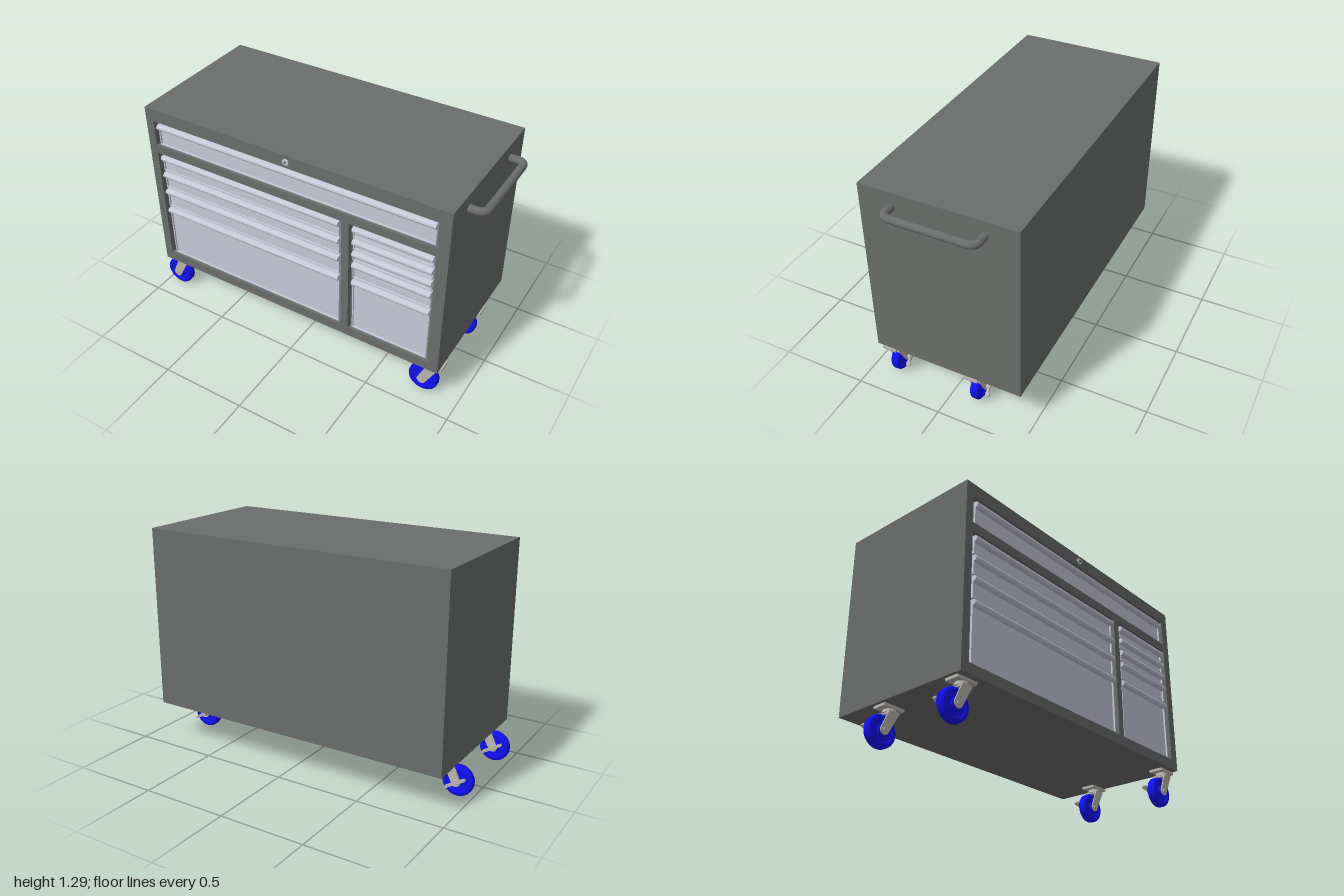
import * as THREE from 'three';
import { toCreasedNormals } from 'three/addons/utils/BufferGeometryUtils.js';

const mat = (color) => new THREE.MeshStandardMaterial({ color });
const dark = mat(0x6a6d6b), pale = mat(0xc8c8d8), blue = mat(0x1010f0), metal = mat(0xb8b5ac);

function add(parent, name, geometry, material, x = 0, y = 0, z = 0) {
  const mesh = new THREE.Mesh(geometry, material);
  mesh.name = name;
  mesh.position.set(x, y, z);
  parent.add(mesh);
  return mesh;
}

// Box given by its extents on each axis
function block(parent, name, material, x0, x1, y0, y1, z0, z1) {
  return add(parent, name, new THREE.BoxGeometry(x1 - x0, y1 - y0, z1 - z0), material,
    (x0 + x1) / 2, (y0 + y1) / 2, (z0 + z1) / 2);
}

function rectangle(target, x0, x1, y0, y1) {
  target.moveTo(x0, y0).lineTo(x1, y0).lineTo(x1, y1).lineTo(x0, y1).closePath();
  return target;
}

const disc = (r, length, sides = 24) => new THREE.CylinderGeometry(r, r, length, sides).rotateX(Math.PI / 2);

// Cabinet shell with a front frame that has three drawer openings
function cabinet() {
  const g = new THREE.Group();
  g.name = 'cabinet';
  block(g, 'shell', dark, -0.95, 0.89, 0.23, 1.29, -0.44, 0.4);
  const face = rectangle(new THREE.Shape(), -0.95, 0.89, 0.23, 1.29);
  for (const o of [[-0.9, 0.835, 1.06, 1.215], [-0.9, 0.295, 0.288, 1.01], [0.34, 0.835, 0.288, 1.01]])
    face.holes.push(rectangle(new THREE.Path(), ...o));
  add(g, 'frontFrame', new THREE.ExtrudeGeometry(face, { depth: 0.03, bevelEnabled: false }), dark, 0, 0, 0.4);
  return g;
}

// Drawer front: side profile with a rounded pull along the top and a lip at the bottom
function drawer(x0, x1, y0, y1) {
  const g = new THREE.Group();
  g.name = 'drawer';
  const s = new THREE.Shape();
  s.moveTo(0.398, y0).lineTo(0.42, y0).lineTo(0.42, y0 + 0.006).lineTo(0.41, y0 + 0.006);
  s.lineTo(0.41, y1 - 0.037).lineTo(0.422, y1 - 0.037);
  s.absellipse(0.422, y1 - 0.021, 0.017, 0.016, -Math.PI / 2, Math.PI / 2, false, 0);
  s.lineTo(0.41, y1 - 0.005).lineTo(0.41, y1).lineTo(0.398, y1).closePath();
  const geo = new THREE.ExtrudeGeometry(s, { depth: x1 - x0, bevelEnabled: false, curveSegments: 10 });
  geo.rotateY(-Math.PI / 2);
  add(g, 'drawerFront', toCreasedNormals(geo, 0.6), pale, x1);
  // folded side edges
  block(g, 'sideEdge', pale, x0, x0 + 0.006, y0, y1 - 0.037, 0.4, 0.42);
  block(g, 'sideEdge', pale, x1 - 0.006, x1, y0, y1 - 0.037, 0.4, 0.42);
  return g;
}

// A column of drawers from the list of top edges down to the bottom
function drawerColumn(parent, x0, x1, tops, bottom) {
  tops.forEach((top, i) => {
    const low = i + 1 < tops.length ? tops[i + 1] + 0.006 : bottom;
    parent.add(drawer(x0, x1, low, top));
  });
}

// Push bar: two legs joined by rounded corners
function pushHandle() {
  const path = new THREE.CurvePath();
  const v = (x, z) => new THREE.Vector3(x, 1.207, z);
  const b = 0.975, r = 0.045, zf = 0.245, zb = -0.258;
  path.add(new THREE.LineCurve3(v(0.88, zf), v(b - r, zf)));
  path.add(new THREE.QuadraticBezierCurve3(v(b - r, zf), v(b, zf), v(b, zf - r)));
  path.add(new THREE.LineCurve3(v(b, zf - r), v(b, zb + r)));
  path.add(new THREE.QuadraticBezierCurve3(v(b, zb + r), v(b, zb), v(b - r, zb)));
  path.add(new THREE.LineCurve3(v(b - r, zb), v(0.88, zb)));
  return new THREE.TubeGeometry(path, 90, 0.022, 16, false);
}

// Swivel caster, origin at the plate centre on the floor; the wheel trails toward -x
function caster() {
  const g = new THREE.Group();
  g.name = 'caster';
  const wx = -0.05, wy = 0.09;
  block(g, 'mountPlate', metal, -0.065, 0.065, 0.215, 0.23, -0.041, 0.041);
  add(g, 'swivel', new THREE.CylinderGeometry(0.032, 0.038, 0.022, 24), metal, 0, 0.206, 0);
  block(g, 'forkBridge', metal, -0.03, 0.034, 0.186, 0.2, -0.04, 0.04);

  // fork legs taper down to a rounded end around the axle
  const leg = new THREE.Shape();
  leg.moveTo(0.036, 0.198).lineTo(-0.03, 0.198).lineTo(wx - 0.024, wy + 0.01);
  leg.absarc(wx, wy, 0.026, Math.PI * 0.9, Math.PI * 1.9, false);
  leg.closePath();
  for (const z of [-0.04, 0.033])
    add(g, 'forkLeg', new THREE.ExtrudeGeometry(leg, { depth: 0.007, bevelEnabled: false }), metal, 0, 0, z);
  add(g, 'axle', disc(0.012, 0.096, 12), metal, wx, wy, 0);

  // wheel with rounded tread and recessed hub
  const p = [[0.001, -0.027], [0.028, -0.027], [0.032, -0.017], [0.058, -0.017], [0.063, -0.024], [0.078, -0.024],
    [0.084, -0.02], [0.087, -0.012]];
  const profile = [...p, ...p.map(([r, h]) => [r, -h]).reverse()].map(([r, h]) => new THREE.Vector2(r, h));
  const wheel = new THREE.LatheGeometry(profile, 40).rotateX(Math.PI / 2);
  add(g, 'wheel', toCreasedNormals(wheel, 0.65), blue, wx, wy - 0.002, 0);

  // brake: hub and a tilted pedal bar with turned tips on the rear side
  add(g, 'brakeHub', disc(0.018, 0.02, 16), metal, wx, wy, -0.047);
  const brake = new THREE.Group();
  brake.name = 'brakePedal';
  brake.position.set(wx, wy, -0.055);
  brake.rotation.z = -0.55;
  block(brake, 'pedalBar', metal, -0.065, 0.05, -0.008, 0.008, -0.006, 0.006);
  block(brake, 'pedalTip', metal, -0.07, -0.045, -0.006, 0.006, -0.017, 0.006);
  block(brake, 'pedalTip', metal, 0.035, 0.055, -0.006, 0.006, -0.017, 0.006);
  g.add(brake);
  return g;
}

export function createModel() {
  const model = new THREE.Group();
  model.name = 'rollingToolCabinet';
  model.add(cabinet());

  drawerColumn(model, -0.877, 0.812, [1.203], 1.066);
  drawerColumn(model, -0.877, 0.277, [1.0, 0.887, 0.77, 0.637], 0.295);
  drawerColumn(model, 0.36, 0.812, [1.0, 0.92, 0.842, 0.765, 0.647], 0.295);

  // lock above the top drawer
  add(model, 'lock', disc(0.018, 0.014), pale, -0.03, 1.253, 0.43);
  add(model, 'lockCore', disc(0.008, 0.004, 16), dark, -0.03, 1.253, 0.437);

  add(model, 'pushHandle', pushHandle(), dark);

  for (const x of [-0.867, 0.835])
    for (const z of [0.353, -0.147]) {
      const c = caster();
      c.position.set(x, 0, z);
      model.add(c);
    }
  return model;
}
